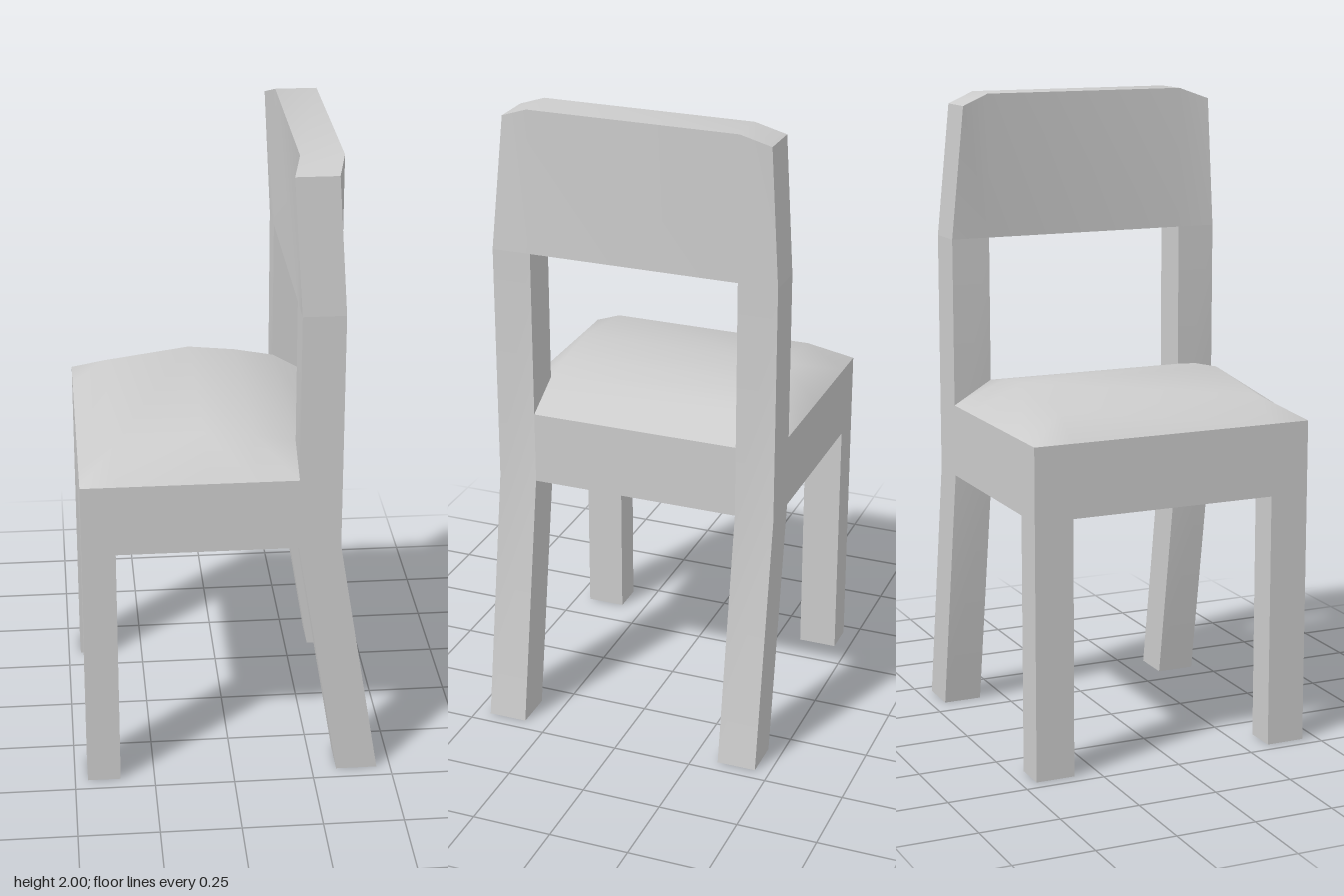
import * as THREE from 'three';
import { toCreasedNormals } from 'three/addons/utils/BufferGeometryUtils.js';

const material = new THREE.MeshStandardMaterial({ color: 0xcccccc });

// Main lines of the chair; the seat's front edge is at -x, the back at +x
const FRONT = -0.46, LEG = -0.357, POST = 0.197, BACK = 0.326;
const INNER = 0.33, OUTER = 0.453;
const SEAT_BOTTOM = 0.8, SEAT_TOP = 1.027, RAIL = 1.553;

function build(points, index) {
  const geometry = new THREE.BufferGeometry();
  geometry.setAttribute('position', new THREE.Float32BufferAttribute(points.flat(), 3));
  geometry.setIndex(index);
  geometry.computeVertexNormals();
  return geometry;
}

// Joins matching loops from first to last; caps are for four-cornered loops
function loft(loops, capped) {
  const n = loops[0].length, index = [];
  for (let k = 0; k < loops.length - 1; k++) {
    for (let i = 0; i < n; i++) {
      const a = k * n + i, b = k * n + (i + 1) % n;
      index.push(a, b, b + n, a, b + n, a + n);
    }
  }
  if (capped) {
    const t = (loops.length - 1) * n;
    index.push(0, 2, 1, 0, 3, 2, t, t + 1, t + 2, t, t + 2, t + 3);
  }
  return toCreasedNormals(build(loops.flat(), index), 0.6);
}

// Domed sheet rising from a flat rim, leaving out the corners filled by the posts
function seatSurface(rim, up) {
  const xs = [FRONT, LEG, -0.08, 0.07, POST, BACK];
  const rise = [0, 0.073, 0.112, 0.097, 0.073, 0];
  const zs = [-OUTER, -INNER, INNER, OUTER];
  const points = [], index = [];
  xs.forEach((x, i) => zs.forEach((z, j) => {
    points.push([x, rim + (j === 1 || j === 2 ? rise[i] : 0), z]);
  }));
  for (let i = 0; i < 5; i++) {
    for (let j = 0; j < 3; j++) {
      if (i === 4 && j !== 1) continue;
      const a = i * 4 + j, b = a + 1, c = a + 5, d = a + 4;
      // Split the corner cells along the hip of the dome
      const tris = (i < 2) === (j === 0) ? [a, b, c, a, c, d] : [a, b, d, b, c, d];
      index.push(...(up ? tris : tris.reverse()));
    }
  }
  return build(points, index);
}

export function createModel() {
  const chair = new THREE.Group();
  chair.name = 'chair';
  const add = (name, geometry) => {
    const mesh = new THREE.Mesh(geometry, material);
    mesh.name = name;
    chair.add(mesh);
  };

  // Seat: domed cushion, upright apron and a hollow underside following the dome
  add('seatCushion', seatSurface(SEAT_TOP, true));
  add('seatUnderside', seatSurface(SEAT_BOTTOM, false));
  const outline = [
    [FRONT, OUTER], [POST, OUTER], [POST, INNER], [BACK, INNER],
    [BACK, -INNER], [POST, -INNER], [POST, -OUTER], [FRONT, -OUTER],
  ];
  add('seatApron', loft([SEAT_BOTTOM, SEAT_TOP].map((y) => outline.map(([x, z]) => [x, y, z])), false));

  // Wide head rail across both posts, its outer top corners lowered and bent forward
  const railSection = (z, zTop, top, xTop) => [
    [POST, RAIL, z], [BACK, RAIL, z], [xTop + BACK - POST, top, zTop], [xTop, top, zTop],
  ];
  add('headRail', loft([
    railSection(-OUTER, -0.42, 1.966, 0.173),
    railSection(-INNER, -INNER, 2, POST),
    railSection(INNER, INNER, 2, POST),
    railSection(OUTER, 0.42, 1.966, 0.173),
  ], true));

  for (const side of [1, -1]) {
    const name = side > 0 ? 'left' : 'right';
    const [z0, z1] = [INNER * side, OUTER * side].sort((a, b) => a - b);
    const section = (y, x0, x1) => [[x0, y, z1], [x1, y, z1], [x1, y, z0], [x0, y, z0]];

    // Straight front leg, running up into the hollow of the seat
    add(name + 'FrontLeg', loft([section(0, FRONT, LEG), section(0.9, FRONT, LEG)], true));

    // Splayed rear leg continuing upright as the back post
    add(name + 'RearLegAndPost', loft([
      section(0, 0.328, 0.457),
      section(SEAT_BOTTOM, POST, BACK),
      section(RAIL, POST, BACK),
    ], true));
  }
  return chair;
}
